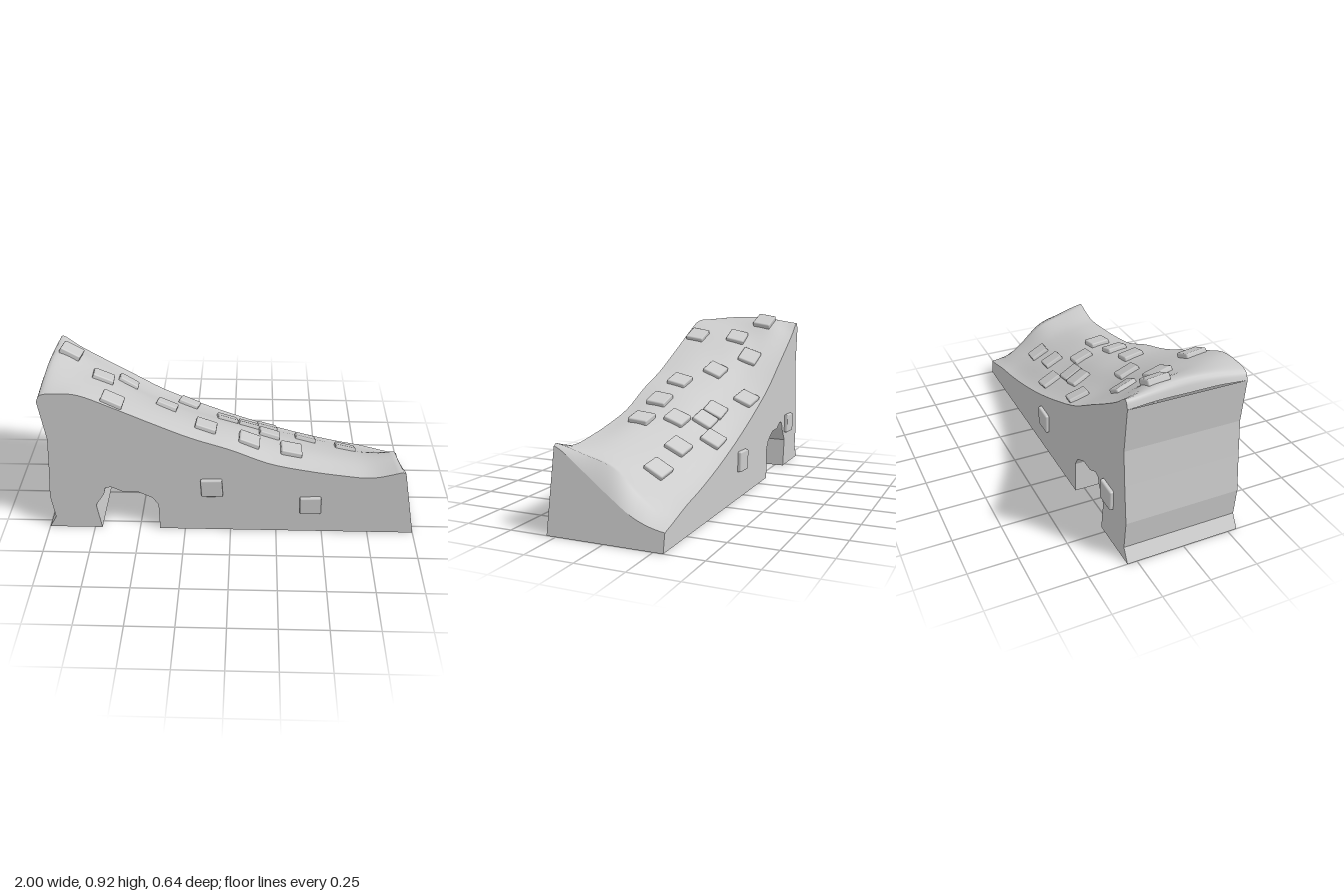
import * as THREE from 'three';
import { RoundedBoxGeometry } from 'three/addons/geometries/RoundedBoxGeometry.js';

const HALF = 0.3, ROWS = 24, STEPS = 48;
const mat = new THREE.MeshStandardMaterial({ color: 0xcccccc, side: THREE.DoubleSide });

// Ramp heights at each x station, listed from front (z = 0.3) to back (z = -0.3)
const stations = [
  [-0.965, 0.83, 0.84, 0.84, 0.84, 0.83],
  [-0.94, 0.87, 0.89, 0.9, 0.89, 0.87],
  [-0.86, 0.88, 0.885, 0.88, 0.87, 0.81],
  [-0.75, 0.87, 0.85, 0.82, 0.79, 0.74],
  [-0.6, 0.805, 0.785, 0.75, 0.69, 0.65],
  [-0.4, 0.71, 0.69, 0.64, 0.57, 0.53],
  [-0.2, 0.62, 0.605, 0.56, 0.49, 0.44],
  [0, 0.55, 0.54, 0.5, 0.42, 0.36],
  [0.2, 0.465, 0.47, 0.435, 0.36, 0.29],
  [0.4, 0.42, 0.425, 0.38, 0.31, 0.23],
  [0.6, 0.39, 0.38, 0.33, 0.255, 0.18],
  [0.75, 0.38, 0.36, 0.31, 0.22, 0.15],
  [0.9, 0.42, 0.38, 0.33, 0.2, 0.11],
];
const endLip = [0.41, 0.32, 0.22, 0.13, 0.09];

// Constant outline under the ramp: right foot, arch, left foot, wavy left wall
const lower = [
  [1, 0], [-0.39, 0], [-0.39, 0.17], [-0.42, 0.22], [-0.5, 0.26], [-0.58, 0.26], [-0.64, 0.29],
  [-0.67, 0.28], [-0.68, 0.24], [-0.73, 0.16], [-0.71, 0], [-1, 0], [-0.96, 0.07],
  [-0.975, 0.22], [-0.955, 0.42], [-0.94, 0.6], [-0.965, 0.83],
].map(([x, y]) => new THREE.Vector2(x, y));

function across(heights, z) {
  const curve = new THREE.SplineCurve(heights.map((y, i) => new THREE.Vector2(i, y)));
  return curve.getPoint((HALF - z) / (2 * HALF)).y;
}

// Ramp profile at depth z, from the high end to the lip of the low end
function rampProfile(z) {
  const pts = stations.map(([x, ...ys]) => new THREE.Vector2(x, across(ys, z)));
  const lipY = across(endLip, z);
  return [...new THREE.SplineCurve(pts).getPoints(STEPS), new THREE.Vector2(1 - 0.2 * lipY, lipY)];
}

function heightAt(x, z) {
  const p = rampProfile(z);
  const i = Math.max(1, p.findIndex((q) => q.x >= x));
  const t = (x - p[i - 1].x) / (p[i].x - p[i - 1].x);
  return THREE.MathUtils.lerp(p[i - 1].y, p[i].y, t);
}

// Skin through a profile that changes with z
function loft(profileAt, smooth) {
  const pos = [], idx = [];
  let n = 0;
  for (let i = 0; i <= ROWS; i++) {
    const z = HALF - (2 * HALF * i) / ROWS;
    const profile = profileAt(z);
    n = profile.length;
    profile.forEach((p) => pos.push(p.x, p.y, z));
  }
  for (let i = 0; i < ROWS; i++) {
    for (let j = 0; j < n - 1; j++) {
      const a = i * n + j, b = a + n;
      idx.push(a, a + 1, b + 1, a, b + 1, b);
    }
  }
  let geo = new THREE.BufferGeometry();
  geo.setAttribute('position', new THREE.Float32BufferAttribute(pos, 3));
  geo.setIndex(idx);
  if (!smooth) geo = geo.toNonIndexed();
  geo.computeVertexNormals();
  return geo;
}

function addMesh(parent, name, geo) {
  const mesh = new THREE.Mesh(geo, mat);
  mesh.name = name;
  parent.add(mesh);
  return mesh;
}

export function createModel() {
  const model = new THREE.Group();
  model.name = 'stoneRamp';

  // Body: sloping top, low end, underside with arch, and two side walls
  addMesh(model, 'rampSurface', loft(rampProfile, true));
  addMesh(model, 'lowEndWall', loft((z) => [rampProfile(z).at(-1), lower[0]], true));
  addMesh(model, 'archAndEndWall', loft(() => lower, false));
  for (const side of [1, -1]) {
    const outline = [...rampProfile(side * HALF), ...lower.slice(0, -1)];
    const wall = new THREE.ShapeGeometry(new THREE.Shape(outline));
    if (side < 0) wall.rotateY(Math.PI).scale(-1, 1, 1);
    // keep the back wall's corners turned outward after mirroring
    if (side < 0) {
      wall.index.array.reverse();
      wall.computeVertexNormals();
    }
    addMesh(model, side > 0 ? 'frontWall' : 'backWall', wall).position.z = side * HALF;
  }

  // Loose stones lying on the slope: x, z, turn
  const stone = new RoundedBoxGeometry(0.115, 0.035, 0.11, 1, 0.008);
  const up = new THREE.Vector3(0, 1, 0);
  const stones = [
    [-0.86, -0.115, -0.08], [-0.68, 0, 0.06], [-0.6, 0.23, -0.05], [-0.57, -0.12, 0],
    [-0.25, -0.22, -0.15], [-0.35, 0.01, -0.08], [-0.135, 0.14, -0.06], [-0.03, -0.12, 0.05],
    [0.09, -0.11, 0], [0.195, -0.2, 0], [0.205, 0, -0.05], [0.095, 0.155, -0.05],
    [0.32, 0.15, 0], [0.41, -0.1, -0.05], [0.64, -0.1, -0.06],
  ];
  for (const [x, z, turn] of stones) {
    const d = 0.04;
    const normal = new THREE.Vector3(
      heightAt(x - d, z) - heightAt(x + d, z), 2 * d, heightAt(x, z - d) - heightAt(x, z + d)).normalize();
    const mesh = addMesh(model, 'slopeStone', stone);
    mesh.position.set(x, heightAt(x, z), z).addScaledVector(normal, 0.004);
    mesh.quaternion.setFromUnitVectors(up, normal)
      .multiply(new THREE.Quaternion().setFromAxisAngle(up, turn));
  }

  // Stones set into the side walls: x, y, side
  for (const [x, y, side] of [[-0.1, 0.3, 1], [0.43, 0.19, 1], [0.03, 0.2, -1], [-0.785, 0.26, -1]]) {
    const mesh = addMesh(model, 'wallStone', stone);
    mesh.position.set(x, y, side * (HALF + 0.002));
    mesh.rotation.set(Math.PI / 2, 0.04, 0);
  }
  return model;
}
